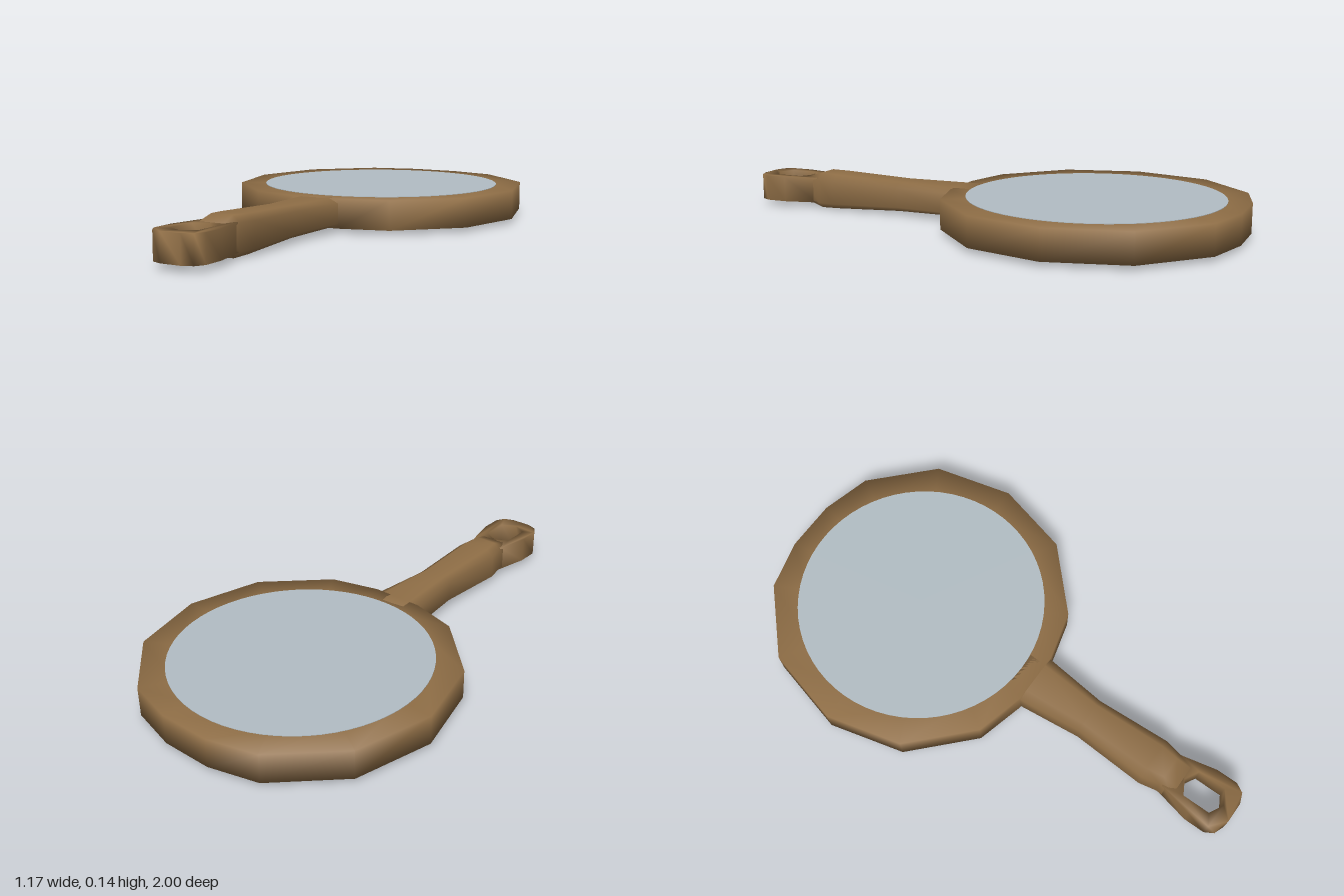
import * as THREE from 'three';
import { mergeVertices } from 'three/addons/utils/BufferGeometryUtils.js';

// Skin a list of closed rings (equal point counts) and cap both ends, smooth shaded
function loft(rings) {
  const n = rings[0].length, last = (rings.length - 1) * n, idx = [];
  for (let r = 0; r < rings.length - 1; r++) {
    for (let i = 0; i < n; i++) {
      const a = r * n + i, b = r * n + (i + 1) % n;
      idx.push(a, b, b + n, a, b + n, a + n);
    }
  }
  for (let i = 1; i < n - 1; i++) {
    idx.push(0, i + 1, i);
    idx.push(last, last + i, last + i + 1);
  }
  const g = new THREE.BufferGeometry();
  g.setAttribute('position', new THREE.Float32BufferAttribute(rings.flat(2), 3));
  g.setIndex(idx);
  g.computeVertexNormals();
  return g;
}

// Complete a right-hand half outline with its mirror image
const mirrored = half => [...half, ...half.filter(p => p[0] > 0).reverse().map(([x, z]) => [-x, z])];

export function createModel() {
  const group = new THREE.Group();
  const wood = new THREE.MeshStandardMaterial({ color: 0x8f6e46 });
  wood.name = 'wood';
  const glass = new THREE.MeshStandardMaterial({ color: 0xb2bdc4 });
  glass.name = 'mirror glass';

  const add = (name, geometry, material) => {
    const mesh = new THREE.Mesh(geometry, material);
    mesh.name = name;
    group.add(mesh);
    return mesh;
  };

  // Fourteen-sided frame with a flat back
  const cz = -0.44;
  const outline = mirrored([[0.1, 0.11], [0.29, 0.06], [0.51, -0.15], [0.585, cz],
    [0.51, -0.74], [0.29, -0.95], [0.1, -1]]);
  const inner = outline.map(([x, z]) => {
    const s = 0.46 / Math.hypot(x, z - cz);
    return [x * s, 0.13, cz + (z - cz) * s];
  });
  add('frame', loft([
    outline.map(([x, z]) => [x, 0.017, z]),
    outline.map(([x, z]) => [x, 0.13, z]),
    inner,
  ]), wood);

  // Round glass plate
  add('mirrorGlass', new THREE.CylinderGeometry(0.483, 0.483, 0.004, 64), glass)
    .position.set(0, 0.13, cz);

  // Handle: octagonal sections [z, half width, bottom, top]
  const sections = [
    [0.04, 0.105, 0.018, 0.13], [0.11, 0.1, 0.018, 0.13], [0.36, 0.072, 0.014, 0.132],
    [0.65, 0.085, 0.003, 0.142], [0.72, 0.07, 0, 0.145], [0.78, 0.078, 0.023, 0.125],
  ];
  add('handle', loft(sections.map(([z, w, lo, hi]) => {
    const a = w * 0.62, c = (hi - lo) * 0.16;
    return [[a, lo], [w, lo + c], [w, hi - c], [a, hi],
      [-a, hi], [-w, hi - c], [-w, lo + c], [-a, lo]].map(([x, y]) => [x, y, z]);
  })), wood);

  // Hanging loop with a hexagonal hole
  const points = half => mirrored(half).map(([x, z]) => new THREE.Vector2(x, -z));
  const loop = new THREE.Shape(points([[0.04, 1], [0.08, 0.985], [0.1, 0.95], [0.1, 0.865], [0.07, 0.73]]));
  loop.holes.push(new THREE.Path(points([[0, 0.955], [0.055, 0.925], [0.055, 0.815], [0, 0.785]])));
  let loopGeo = new THREE.ExtrudeGeometry(loop, { depth: 0.102, bevelEnabled: false });
  loopGeo.rotateX(-Math.PI / 2);
  loopGeo.translate(0, 0.023, 0);
  loopGeo.deleteAttribute('uv');
  loopGeo.deleteAttribute('normal');
  loopGeo = mergeVertices(loopGeo, 1e-4);
  loopGeo.computeVertexNormals();
  add('hangingLoop', loopGeo, wood);

  return group;
}
